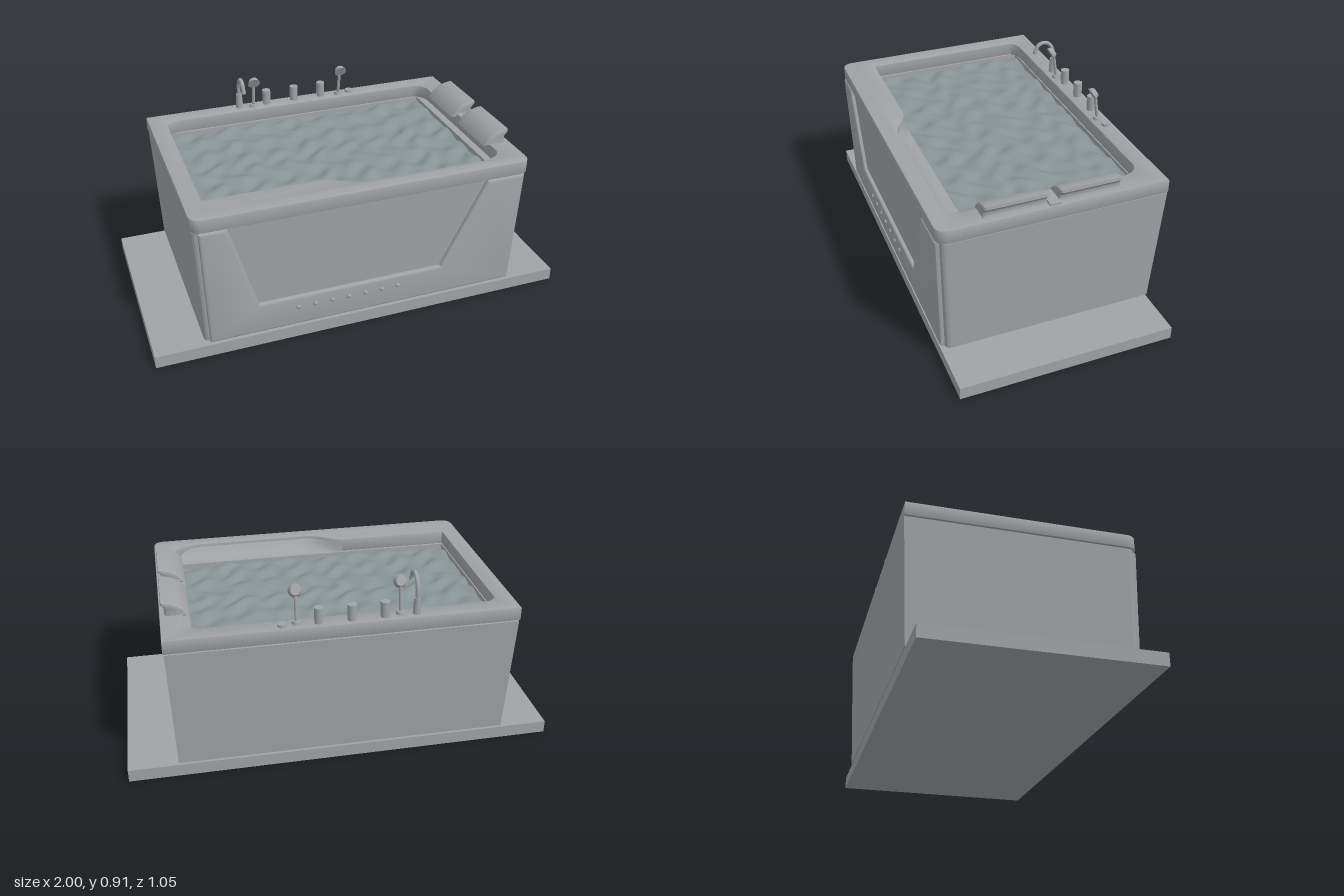
import * as THREE from 'three';
import { toCreasedNormals } from 'three/addons/utils/BufferGeometryUtils.js';

const grey = new THREE.MeshStandardMaterial({ color: 0xa0a2a6 });
grey.name = 'tub grey';
const waterGrey = new THREE.MeshStandardMaterial({ color: 0x879496 });
waterGrey.name = 'water grey green';

function add(parent, name, geometry, x = 0, y = 0, z = 0, material = grey) {
  const mesh = new THREE.Mesh(geometry, material);
  mesh.name = name;
  mesh.position.set(x, y, z);
  parent.add(mesh);
  return mesh;
}

// Moves each vertex by a rule
function warp(geometry, rule) {
  const p = geometry.attributes.position;
  const v = new THREE.Vector3();
  for (let i = 0; i < p.count; i++) {
    rule(v.fromBufferAttribute(p, i));
    p.setXYZ(i, v.x, v.y, v.z);
  }
  geometry.computeVertexNormals();
  return geometry;
}

// Plan outline, square at the back and rounded at the front (shape y is -z)
function plan(halfX, back, front, r) {
  const s = new THREE.Shape();
  s.moveTo(-halfX, -back);
  s.lineTo(-halfX, -front + r);
  s.quadraticCurveTo(-halfX, -front, -halfX + r, -front);
  s.lineTo(halfX - r, -front);
  s.quadraticCurveTo(halfX, -front, halfX, -front + r);
  s.lineTo(halfX, -back);
  s.closePath();
  return s;
}

function slab(shape, y0, y1, bevel) {
  const g = new THREE.ExtrudeGeometry(shape, {
    depth: y1 - y0 - 2 * bevel, bevelEnabled: bevel > 0, bevelSize: bevel,
    bevelOffset: -bevel, bevelThickness: bevel, bevelSegments: 2, curveSegments: 8,
  });
  return g.rotateX(-Math.PI / 2).translate(0, y0 + bevel, 0);
}

// The skirt narrows towards the floor
function taper(v) {
  const t = (0.655 - v.y) / 0.585;
  v.x *= 1 - 0.025 * t;
  v.z += v.z > 0 ? -0.015 * t : 0.027 * t;
}

function handShower(parent, x) {
  const g = new THREE.Group();
  g.name = 'handShower';
  g.position.set(x, 0.725, -0.478);
  parent.add(g);
  add(g, 'showerBase', new THREE.CylinderGeometry(0.018, 0.022, 0.014, 20), 0, 0.007, 0);
  const stem = new THREE.LineCurve3(new THREE.Vector3(0, 0, 0), new THREE.Vector3(0, 0.14, 0.022));
  add(g, 'showerHandle', new THREE.TubeGeometry(stem, 1, 0.008, 12));
  const head = new THREE.CylinderGeometry(0.031, 0.022, 0.022, 24).rotateX(Math.PI / 2 + 0.5);
  add(g, 'showerHead', head, 0, 0.145, 0.028);
}

export function createModel() {
  const tub = new THREE.Group();
  tub.name = 'bathtub';

  // Floor slab
  add(tub, 'floorSlab', new THREE.BoxGeometry(2, 0.06, 1.01), 0, 0.03, 0.005);

  // Skirt with the basin cut through it
  const skirt = plan(0.79, -0.527, 0.505, 0.03);
  skirt.holes.push(new THREE.Path([[-0.71, 0.44], [0.66, 0.44], [0.66, -0.365], [-0.71, -0.365]]
    .map(([x, y]) => new THREE.Vector2(x, y))));
  add(tub, 'skirt', toCreasedNormals(warp(slab(skirt, 0.07, 0.655, 0), taper), 0.5));

  // Front apron around the sunken window
  const apron = new THREE.Shape([
    [-0.765, 0.07], [0.765, 0.07], [0.765, 0.655], [0.58, 0.655],
    [0.38, 0.225], [-0.525, 0.225], [-0.64, 0.655], [-0.765, 0.655],
  ].map(([x, y]) => new THREE.Vector2(x, y)));
  const apronGeo = new THREE.ExtrudeGeometry(apron, {
    depth: 0.012, bevelSize: 0.014, bevelOffset: -0.014, bevelThickness: 0.012, bevelSegments: 3,
  }).translate(0, 0, 0.502);
  add(tub, 'frontApron', toCreasedNormals(warp(apronGeo, taper), 0.5));

  // Row of light studs below the window
  for (let i = 0; i < 7; i++) {
    const stud = new THREE.SphereGeometry(0.011, 12, 8).scale(1, 1, 0.8);
    add(tub, 'lightStud', stud, -0.335 + i * 0.0815, 0.17, 0.514);
  }

  // Rim, opening wider at the front for the armrest
  const rim = plan(0.795, -0.527, 0.522, 0.055);
  const hole = new THREE.Path();
  hole.moveTo(-0.71, 0.4);
  hole.quadraticCurveTo(-0.7, 0.44, -0.63, 0.44);
  hole.lineTo(0.63, 0.44);
  hole.quadraticCurveTo(0.68, 0.43, 0.69, 0.37);
  hole.lineTo(0.69, -0.38);
  hole.quadraticCurveTo(0.68, -0.44, 0.58, -0.45);
  hole.lineTo(0.02, -0.45);
  hole.bezierCurveTo(-0.08, -0.44, -0.1, -0.375, -0.18, -0.367);
  hole.lineTo(-0.71, -0.365);
  hole.closePath();
  rim.holes.push(hole);
  add(tub, 'rim', toCreasedNormals(slab(rim, 0.659, 0.725, 0.005), 0.6));

  // Armrest sloping from the rim to the water
  const armrest = new THREE.PlaneGeometry(1, 1, 20, 6).rotateX(-Math.PI / 2);
  add(tub, 'armrest', warp(armrest, (v) => {
    const u = v.x + 0.5, w = v.z + 0.5;
    const reach = 0.09 * Math.min(1, THREE.MathUtils.smoothstep(u, 0, 0.24) + 0.02);
    v.set(-0.17 + 0.85 * u, 0.657 + 0.055 * w * w, 0.363 + reach * w);
  }));

  // Rippled water
  const water = new THREE.PlaneGeometry(1.37, 0.805, 96, 60).rotateX(-Math.PI / 2);
  add(tub, 'water', warp(water, (v) => {
    const a = v.x + 0.035 * Math.sin(17 * v.z + 1) + 0.02 * Math.sin(31 * v.z);
    const b = v.z + 0.03 * Math.sin(13 * v.x) + 0.015 * Math.sin(37 * v.x + 2);
    v.y = 0.005 * Math.sin(41 * b + 9 * a) + 0.004 * Math.sin(29 * a - 33 * b)
      + 0.003 * Math.sin(47 * a + 23 * b + 1);
  }), -0.025, 0.635, -0.0375, waterGrey);

  // Curved headrest pillows with a block between them
  const pillow = new THREE.Shape();
  pillow.moveTo(0.663, 0.716);
  pillow.quadraticCurveTo(0.7, 0.785, 0.785, 0.79);
  pillow.lineTo(0.787, 0.775);
  pillow.quadraticCurveTo(0.755, 0.75, 0.775, 0.722);
  pillow.closePath();
  for (const z of [0.175, -0.162]) {
    const g = new THREE.ExtrudeGeometry(pillow, {
      depth: 0.257, bevelSize: 0.008, bevelOffset: -0.008, bevelThickness: 0.014,
      bevelSegments: 3, curveSegments: 12,
    }).translate(0, 0, -0.1285);
    add(tub, 'pillow', toCreasedNormals(g, 0.6), 0, 0, z);
  }
  add(tub, 'pillowBlock', new THREE.BoxGeometry(0.1, 0.02, 0.052), 0.738, 0.725, 0.003);

  // Spout
  const spout = new THREE.Group();
  spout.name = 'spout';
  spout.position.set(-0.32, 0, 0);
  tub.add(spout);
  add(spout, 'spoutBase', new THREE.CylinderGeometry(0.015, 0.018, 0.075, 20), 0, 0.7625, -0.487);
  const path = new THREE.CatmullRomCurve3([
    [0.76, -0.487], [0.84, -0.486], [0.88, -0.467], [0.896, -0.435], [0.885, -0.402], [0.85, -0.386],
  ].map(([y, z]) => new THREE.Vector3(0, y, z)));
  add(spout, 'spoutPipe', new THREE.TubeGeometry(path, 32, 0.01, 14));
  add(spout, 'spoutTip', new THREE.CylinderGeometry(0.011, 0.012, 0.016, 16), 0, 0.852, -0.387);

  // Hand showers, control knobs and drain button
  for (const x of [-0.25, 0.215]) handShower(tub, x);
  for (const x of [-0.175, -0.027, 0.12]) {
    add(tub, 'knob', new THREE.CylinderGeometry(0.021, 0.021, 0.06, 24), x, 0.77, -0.49);
    add(tub, 'knobCollar', new THREE.CylinderGeometry(0.019, 0.019, 0.016, 24), x, 0.733, -0.49);
  }
  add(tub, 'button', new THREE.CylinderGeometry(0.02, 0.021, 0.012, 24), 0.28, 0.731, -0.49);

  return tub;
}
